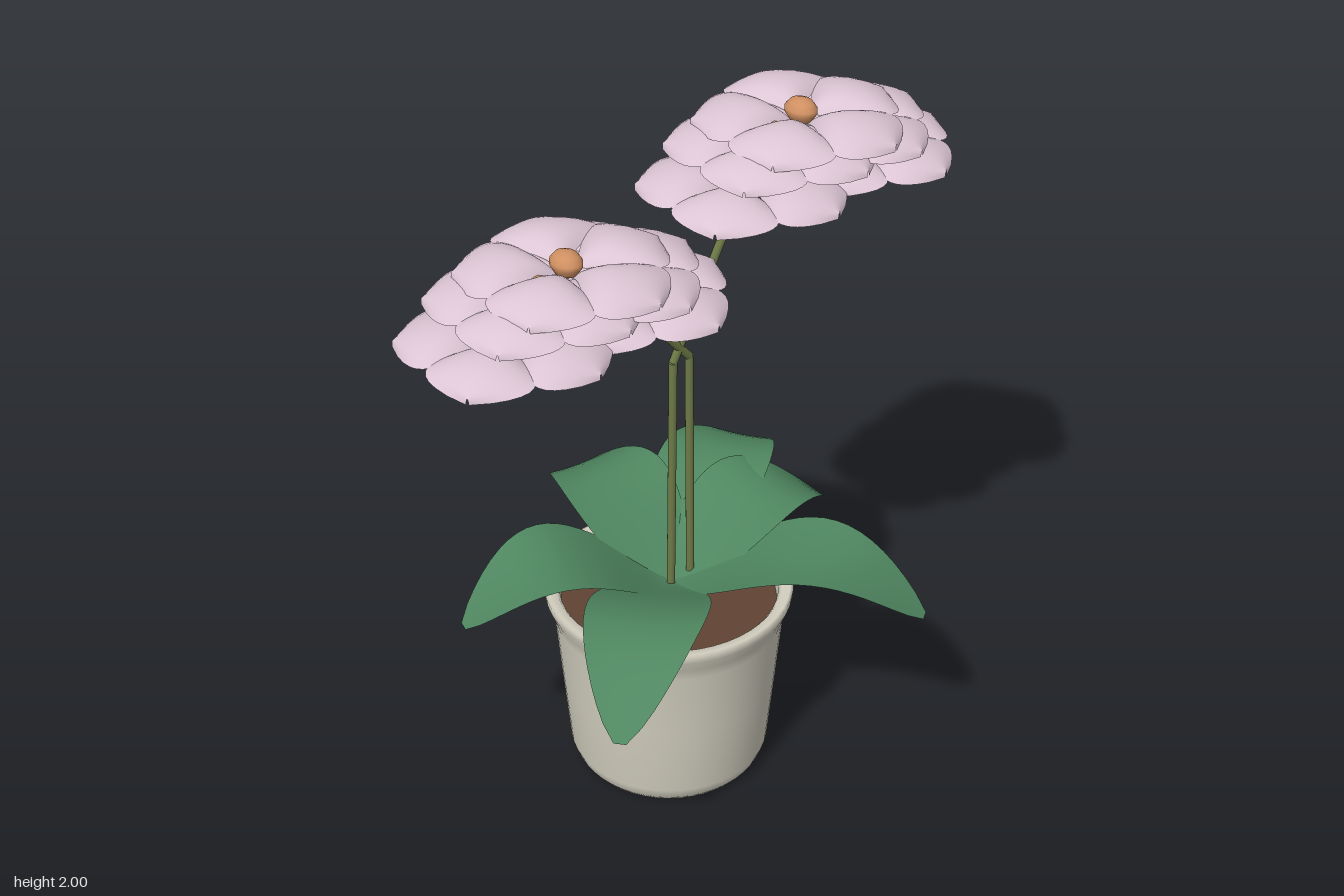
import * as THREE from 'three';

const mat = (name, color, side = THREE.FrontSide) => {
  const m = new THREE.MeshStandardMaterial({ color, side });
  m.name = name;
  return m;
};
const M = {
  pot: mat('potCream', 0xd3cfc0),
  soil: mat('soilBrown', 0x604433),
  leaf: mat('leafGreen', 0x4f8660, THREE.DoubleSide),
  stem: mat('stemOlive', 0x6f7b48),
  petal: mat('petalPink', 0xdcc5d4, THREE.DoubleSide),
  heart: mat('heartOrange', 0xd09062),
};

const V = (x, y, z) => new THREE.Vector3(x, y, z);

function add(parent, name, geometry, material) {
  const mesh = new THREE.Mesh(geometry, material);
  mesh.name = name;
  parent.add(mesh);
  return mesh;
}

// Curved blade along +x: half width w(t) and height h(t, u), u running -1..1 across
function blade(start, length, rows, cols, w, h) {
  const g = new THREE.PlaneGeometry(1, 1, cols, rows);
  const p = g.attributes.position;
  for (let i = 0; i < p.count; i++) {
    const u = p.getX(i) * 2, t = p.getY(i) + 0.5;
    p.setXYZ(i, start + t * length, h(t, u), u * w(t));
  }
  g.computeVertexNormals();
  return g;
}

function rod(parent, name, a, b, r) {
  const d = b.clone().sub(a);
  const m = add(parent, name, new THREE.CylinderGeometry(r, r, d.length(), 10), M.stem);
  m.position.copy(a).addScaledVector(d, 0.5);
  m.quaternion.setFromUnitVectors(V(0, 1, 0), d.normalize());
}

function makePot() {
  const pot = new THREE.Group();
  pot.name = 'pot';
  const profile = [
    [0, 0], [0.258, 0], [0.272, 0.018], [0.286, 0.055], [0.306, 0.28], [0.324, 0.49],
    [0.335, 0.53], [0.349, 0.565], [0.351, 0.588], [0.342, 0.59],
    [0.318, 0.588], [0.308, 0.575], [0.3, 0.5],
  ].map(([x, y]) => new THREE.Vector2(x, y));
  add(pot, 'potBody', new THREE.LatheGeometry(profile, 48), M.pot);
  const soil = add(pot, 'soil', new THREE.CircleGeometry(0.304, 40), M.soil);
  soil.rotation.x = -Math.PI / 2;
  soil.position.y = 0.535;
  pot.position.set(-0.012, 0, 0.003);
  return pot;
}

function makeLeaves() {
  const leaves = new THREE.Group();
  leaves.name = 'leaves';
  // tip position of each leaf, x and z
  const tips = [[0.04, -0.585], [0.6, -0.39], [0.58, -0.03], [0.43, 0.58], [-0.55, 0.5], [-0.6, -0.15]];
  tips.forEach(([x, z]) => {
    const g = blade(0, Math.hypot(x, z), 20, 8,
      (t) => 0.163 * Math.pow(Math.sin(Math.PI * (0.06 + 0.93 * t)), 0.66),
      (t, u) => 0.58 + 0.03 * t + 0.155 * Math.sin(Math.PI * Math.pow(t, 1.25))
        + 0.014 * u * u * Math.sin(Math.PI * t));
    add(leaves, 'leaf', g, M.leaf).rotation.y = Math.atan2(-z, x);
  });
  return leaves;
}

// Petal: narrow in the throat, broad and domed further out, drooping at its pointed tip
const petalGeo = blade(0.012, 0.27, 16, 8,
  (t) => 0.004 + 0.134 * Math.pow(Math.max(0, Math.sin(Math.PI * Math.pow(t, 1.7))), 0.8),
  (t, u) => 0.014 - 0.075 * Math.pow(1 - t, 4) - 0.055 * t * t * t
    - 0.035 * u * u * Math.sin(Math.PI * t * 0.85));

// Flower heart: round on top, tapering to a spike below
const heartGeo = new THREE.LatheGeometry([
  [0.002, -0.095], [0.01, -0.08], [0.014, -0.055], [0.028, -0.045], [0.039, -0.025],
  [0.039, -0.012], [0.028, 0.004], [0.013, 0.011], [0, 0.012],
].map(([x, y]) => new THREE.Vector2(x, y)), 20);

function makeFlower() {
  const flower = new THREE.Group();
  flower.name = 'flower';
  for (let i = 0; i < 5; i++) {
    add(flower, 'petal', petalGeo, M.petal).rotation.y = i * Math.PI * 0.4;
  }
  add(flower, 'flowerHeart', heartGeo, M.heart).scale.z = 1.2;
  return flower;
}

// Spray: one bent stem with five flowers stepping down on both sides of the top one
function makeSpray(name, points, x, y) {
  const spray = new THREE.Group();
  spray.name = name;
  for (let i = 1; i < points.length; i++) rod(spray, 'stem', points[i - 1], points[i], 0.012);
  const end = points[points.length - 1];
  const steps = [[0, 0], [-0.09, -0.042], [0.09, -0.042], [-0.18, -0.13], [0.18, -0.13]];
  steps.forEach(([dx, dy]) => {
    const flower = makeFlower();
    flower.position.set(x + dx, y + dy, 0.073);
    spray.add(flower);
    rod(spray, 'flowerStalk', end, V(x + dx, y + dy - 0.07, 0.073), 0.006);
  });
  return spray;
}

export function createModel() {
  const model = new THREE.Group();
  model.name = 'pottedFlower';
  model.add(makePot(), makeLeaves());
  model.add(makeSpray('leftSpray',
    [V(-0.012, 0.54, 0.012), V(-0.012, 1.32, 0.022), V(0.2, 1.8, 0.045), V(0.34, 1.885, 0.06)],
    0.36, 1.986));
  model.add(makeSpray('rightSpray',
    [V(0.057, 0.54, 0.012), V(0.042, 1.32, 0.022), V(-0.22, 1.625, 0.045), V(-0.36, 1.695, 0.06)],
    -0.38, 1.796));
  return model;
}
